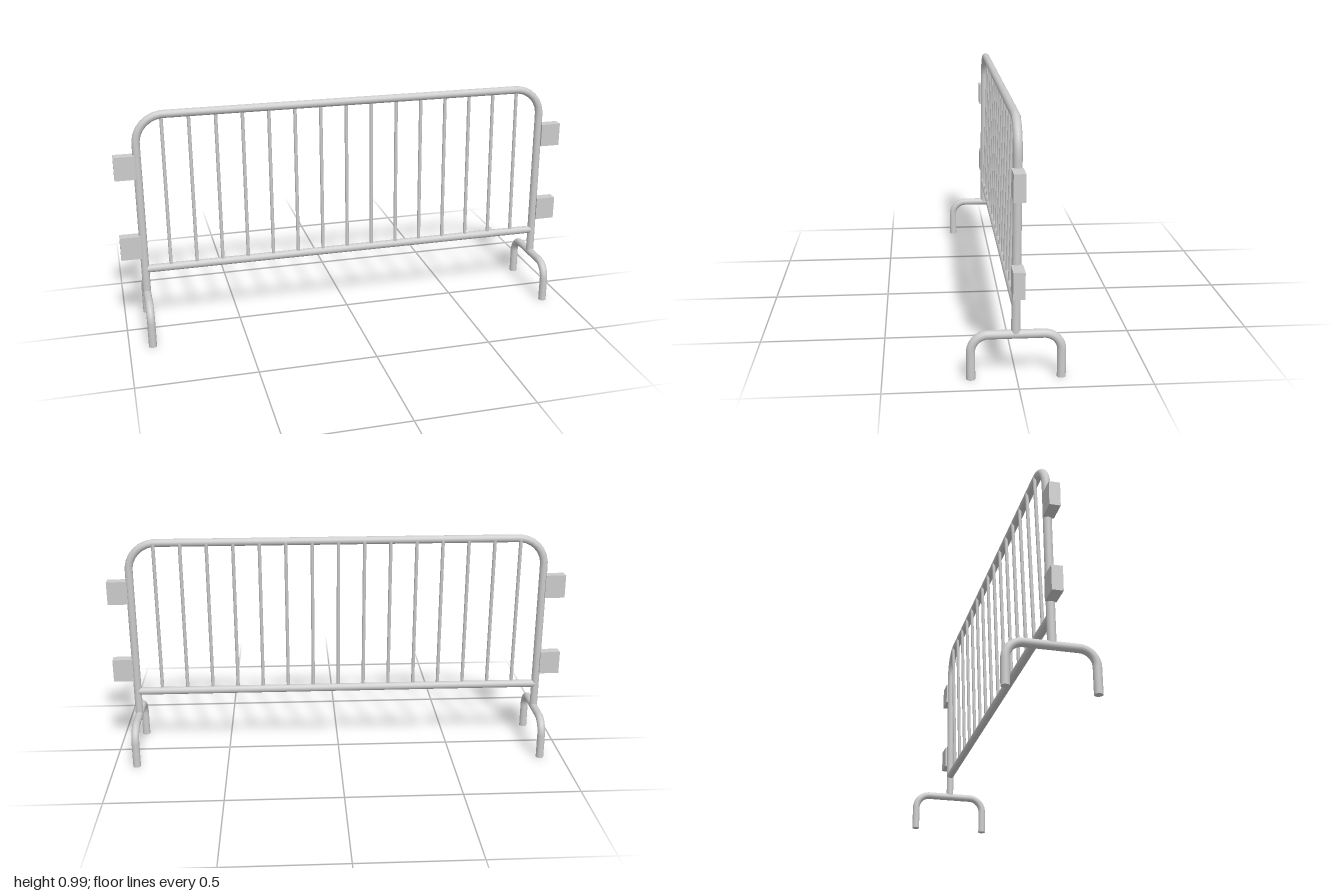
import * as THREE from 'three';

const metal = new THREE.MeshStandardMaterial({ color: 0xcccccc });
const V = (x, y, z) => new THREE.Vector3(x, y, z);

function add(parent, name, geometry) {
  const mesh = new THREE.Mesh(geometry, metal);
  mesh.name = name;
  parent.add(mesh);
  return mesh;
}

// Straight round bar between two points
function bar(parent, name, a, b, radius, sides = 16) {
  const mesh = add(parent, name, new THREE.CylinderGeometry(radius, radius, a.distanceTo(b), sides));
  mesh.position.copy(a).lerp(b, 0.5);
  mesh.quaternion.setFromUnitVectors(V(0, 1, 0), b.clone().sub(a).normalize());
  return mesh;
}

// Pipe through four corners with the two middle ones rounded, closed at both ends
function bentPipe(parent, name, [a, b, c, d], bend, radius) {
  const toward = (p, q, dist) => p.clone().add(q.clone().sub(p).setLength(dist));
  const corner = (p, q, r) => {
    const s = toward(q, p, bend), e = toward(q, r, bend);
    return new THREE.CubicBezierCurve3(s, s.clone().lerp(q, 0.55), e.clone().lerp(q, 0.55), e);
  };
  const c1 = corner(a, b, c), c2 = corner(b, c, d);
  const path = new THREE.CurvePath();
  path.add(new THREE.LineCurve3(a, c1.v0));
  path.add(c1);
  path.add(new THREE.LineCurve3(c1.v3, c2.v0));
  path.add(c2);
  path.add(new THREE.LineCurve3(c2.v3, d));
  const group = new THREE.Group();
  group.name = name;
  add(group, 'pipe', new THREE.TubeGeometry(path, 120, radius, 16, false));
  for (const [end, next] of [[a, b], [d, c]]) {
    const cap = add(group, 'pipeEnd', new THREE.CircleGeometry(radius, 16));
    cap.position.copy(end);
    cap.quaternion.setFromUnitVectors(V(0, 0, 1), end.clone().sub(next).normalize());
  }
  parent.add(group);
}

export function createModel() {
  const model = new THREE.Group();
  model.name = 'crowdBarrier';
  const postX = 0.902;
  const pipeR = 0.017;

  // Outer frame, leaning back very slightly
  bentPipe(model, 'frame', [
    V(-postX, 0.18, 0.004), V(-postX, 0.972, -0.002),
    V(postX, 0.972, -0.002), V(postX, 0.18, 0.004),
  ], 0.12, pipeR);

  // Bottom rail
  bar(model, 'bottomRail', V(-postX, 0.288, 0.003), V(postX, 0.288, 0.003), pipeR);

  // Upright bars
  for (let i = -7; i <= 7; i++) {
    const x = i * 0.113;
    bar(model, 'uprightBar', V(x, 0.285, 0.006), V(x, 0.97, -0.014), 0.0075, 10);
  }

  for (const side of [-1, 1]) {
    // Arched foot
    const x = side * postX;
    bentPipe(model, side > 0 ? 'leftFoot' : 'rightFoot', [
      V(x, 0, 0.171), V(x, 0.174, 0.171), V(x, 0.174, -0.168), V(x, 0, -0.168),
    ], 0.066, pipeR);

    // Connector blocks
    for (const y of [0.396, 0.755]) {
      const block = add(model, 'connectorBlock', new THREE.BoxGeometry(0.088, 0.102, 0.044));
      block.position.set(side * 0.956, y, 0.001);
    }
  }
  return model;
}
